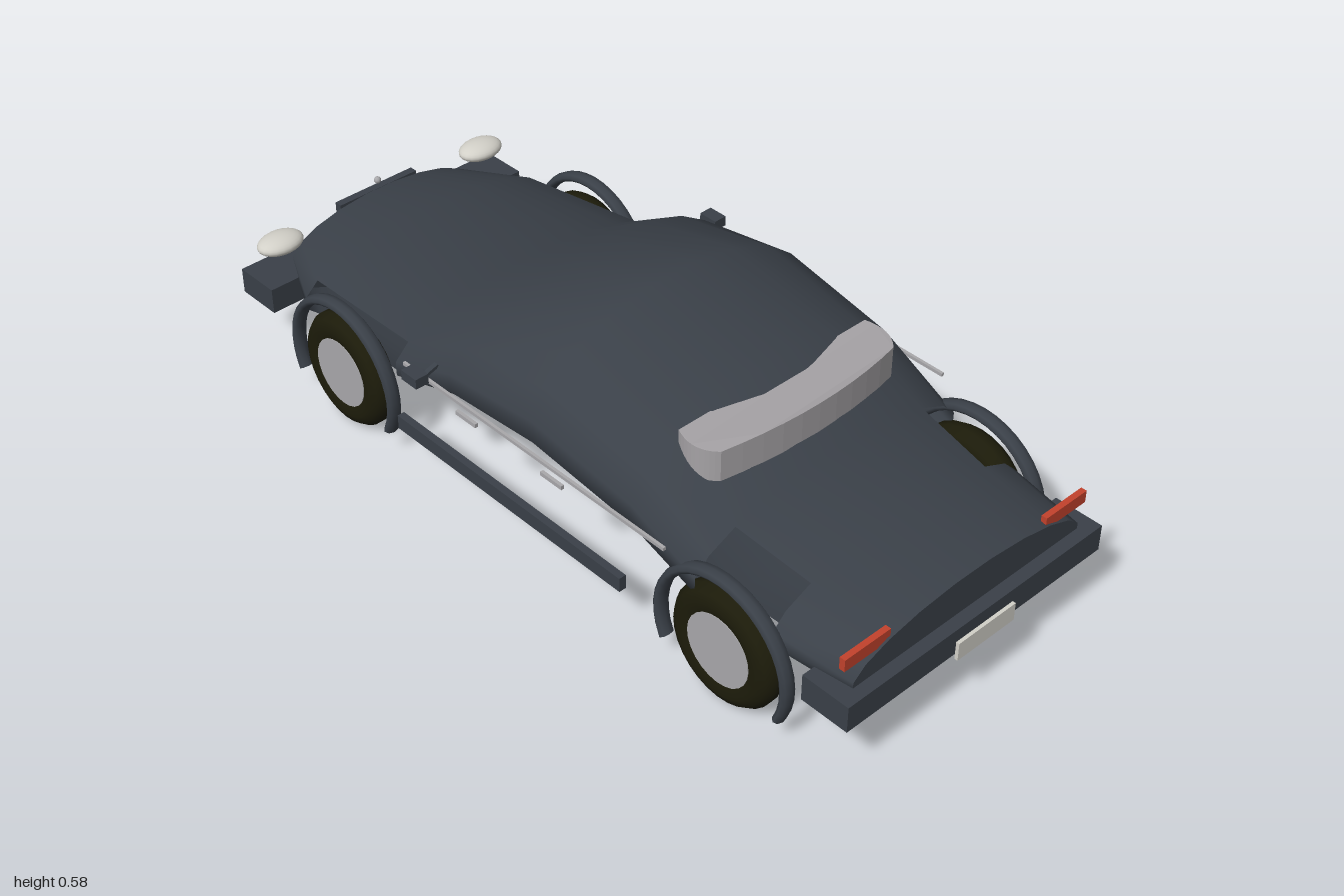
import * as THREE from 'three';

const mat = (name, color, side = THREE.FrontSide) => {
  const m = new THREE.MeshStandardMaterial({ color, side });
  m.name = name;
  return m;
};

export function createModel() {
  const car = new THREE.Group();
  car.name = 'car';
  const paint = mat('body paint', 0x3a4048);
  const shellPaint = mat('shell paint', 0x3a4048, THREE.DoubleSide);
  const rubber = mat('tyre rubber', 0x1c1b0a);
  const metal = mat('light metal', 0xa9a8ab);
  const glass = mat('window glass', 0xa5a2a5);
  const lamp = mat('lamp white', 0xd2d0c8);
  const red = mat('lamp red', 0xc2422c);

  const add = (name, geo, material, x = 0, y = 0, z = 0, parent = car) => {
    const m = new THREE.Mesh(geo, material);
    m.name = name;
    m.position.set(x, y, z);
    parent.add(m);
    return m;
  };
  const box = (name, material, w, h, d, x, y, z, parent) =>
    add(name, new THREE.BoxGeometry(w, h, d), material, x, y, z, parent);

  // Body shell: rings of 20 points [z, half width, top, middle, bottom]
  const rings = [
    [0.95, 0.34, 0.317, 0.225, 0.135],
    [0.76, 0.365, 0.352, 0.235, 0.128],
    [0.57, 0.39, 0.388, 0.26, 0.145],
    [0.39, 0.395, 0.522, 0.33, 0.205],
    [0.1, 0.402, 0.588, 0.37, 0.245],
    [-0.17, 0.4, 0.523, 0.345, 0.225],
    [-0.38, 0.388, 0.388, 0.265, 0.152],
    [-0.75, 0.362, 0.342, 0.235, 0.13],
    [-0.93, 0.27, 0.312, 0.22, 0.13],
  ];
  const N = 20;
  const pos = [];
  const idx = [];
  const ringPoint = ([z, w, top, mid, bottom], k) => {
    const a = ((k + 0.5) / N) * Math.PI * 2;
    const c = Math.cos(a);
    return [w * Math.sin(a), mid + c * (c > 0 ? top - mid : mid - bottom), z];
  };
  rings.forEach((r) => {
    for (let k = 0; k < N; k++) pos.push(...ringPoint(r, k));
  });
  for (let i = 0; i < rings.length - 1; i++) {
    for (let k = 0; k < N; k++) {
      // Wheel openings in the sides
      const fromSide = Math.abs((k % 10) - 4);
      if ((i === 1 && fromSide <= 2) || (i === 6 && fromSide <= 1)) continue;
      const a = i * N + k, b = i * N + ((k + 1) % N);
      idx.push(a, b, a + N, b, b + N, a + N);
    }
  }
  // End caps
  [[rings[0], true], [rings[rings.length - 1], false]].forEach(([r, front]) => {
    const c = pos.length / 3;
    pos.push(0, r[3], r[0]);
    for (let k = 0; k < N; k++) pos.push(...ringPoint(r, k));
    for (let k = 0; k < N; k++) {
      const p = c + 1 + k, q = c + 1 + ((k + 1) % N);
      idx.push(c, front ? q : p, front ? p : q);
    }
  });
  const shell = new THREE.BufferGeometry();
  shell.setAttribute('position', new THREE.Float32BufferAttribute(pos, 3));
  shell.setIndex(idx);
  shell.computeVertexNormals();
  add('bodyShell', shell, shellPaint);

  // Bowed window block
  const plan = new THREE.Shape();
  plan.moveTo(-0.27, -0.4);
  plan.quadraticCurveTo(-0.295, -0.46, -0.25, -0.5);
  plan.quadraticCurveTo(0, -0.56, 0.25, -0.5);
  plan.quadraticCurveTo(0.295, -0.46, 0.27, -0.4);
  plan.closePath();
  const windowGeo = new THREE.ExtrudeGeometry(plan, { depth: 0.075, bevelEnabled: false, curveSegments: 10 });
  windowGeo.rotateX(-Math.PI / 2);
  const wp = windowGeo.attributes.position;
  for (let i = 0; i < wp.count; i++) {
    const x = wp.getX(i);
    wp.setY(i, wp.getY(i) - 0.13 * x * x + (0.53 - wp.getZ(i)) * 0.09);
  }
  windowGeo.computeVertexNormals();
  add('window', windowGeo, glass, 0, 0.415, 0);

  // Bumpers and plates at both ends
  for (const s of [1, -1]) {
    const end = s > 0 ? 'front' : 'rear';
    box(end + 'Bumper', paint, 0.76, 0.065, 0.12, 0, 0.193, s * 0.92);
    box(end + 'Plate', lamp, 0.17, 0.045, 0.008, 0, 0.188, s * 0.995);
  }
  box('rearGrille', paint, 0.23, 0.045, 0.02, 0, 0.285, -0.945);
  add('rearBadge', new THREE.SphereGeometry(0.009, 10, 8), metal, 0, 0.33, -0.937);

  // Wheels and arches
  const tyreProfile = [
    [0.085, -0.03], [0.11, -0.037], [0.13, -0.028], [0.143, -0.01],
    [0.143, 0.01], [0.13, 0.028], [0.11, 0.037], [0.085, 0.03],
  ].map(([r, h]) => new THREE.Vector2(r, h));
  const tyreGeo = new THREE.LatheGeometry(tyreProfile, 28).rotateZ(-Math.PI / 2);
  const disc = (r, w) => new THREE.CylinderGeometry(r, r, w, 24).rotateZ(-Math.PI / 2);
  const arc = Math.PI * 1.28;
  const archGeo = new THREE.TorusGeometry(0.178, 0.012, 8, 24, arc)
    .rotateZ((Math.PI - arc) / 2)
    .rotateY(Math.PI / 2)
    .scale(1.6, 1, 1);
  for (const z of [0.645, -0.585]) {
    for (const s of [1, -1]) {
      const wheel = new THREE.Group();
      wheel.name = (z > 0 ? 'front' : 'rear') + (s > 0 ? 'Left' : 'Right') + 'Wheel';
      wheel.position.set(s * 0.362, 0.145, z);
      car.add(wheel);
      add('tyre', tyreGeo, rubber, 0, 0, 0, wheel);
      add('tyreWall', disc(0.09, 0.05), rubber, 0, 0, 0, wheel);
      add('rim', disc(0.068, 0.06), metal, 0.002, 0, 0, wheel);
      add('innerDisc', disc(0.086, 0.01), metal, -0.027, 0, 0, wheel);
      add('hub', new THREE.CylinderGeometry(0.022, 0.022, 0.02, 8).rotateZ(-Math.PI / 2), paint, 0.03, 0, 0, wheel);
      add('wheelArch', archGeo, paint, s * 0.017, 0, 0, wheel);
    }
  }

  // Mirrored side details
  for (const s of [1, -1]) {
    const side = s > 0 ? 'left' : 'right';
    box(side + 'Sill', paint, 0.018, 0.036, 0.73, s * 0.395, 0.139, 0.005);
    box(side + 'Trim', metal, 0.007, 0.008, 0.82, s * 0.411, 0.335, 0.1);
    for (const z of [0.175, -0.1]) {
      box(side + 'DoorHandle', metal, 0.008, 0.01, 0.065, s * 0.411, 0.304, z);
    }
    box(side + 'Mirror', paint, 0.034, 0.025, 0.05, s * 0.443, 0.36, -0.23);
    const arm = box(side + 'MirrorArm', paint, 0.05, 0.008, 0.012, s * 0.407, 0.354, -0.23);
    arm.rotation.z = -s * 0.3;
    const pane = add(side + 'SideWindow', new THREE.SphereGeometry(1, 14, 8), glass, s * 0.2, 0.265, 0);
    pane.scale.set(0.04, 0.025, 0.065);
    box(side + 'TailLamp', red, 0.127, 0.03, 0.014, s * 0.295, 0.295, 0.938);
    const head = add(side + 'HeadLamp', new THREE.SphereGeometry(1, 20, 14), lamp, s * 0.305, 0.298, -0.918);
    head.scale.set(0.06, 0.023, 0.043);
  }
  return car;
}
